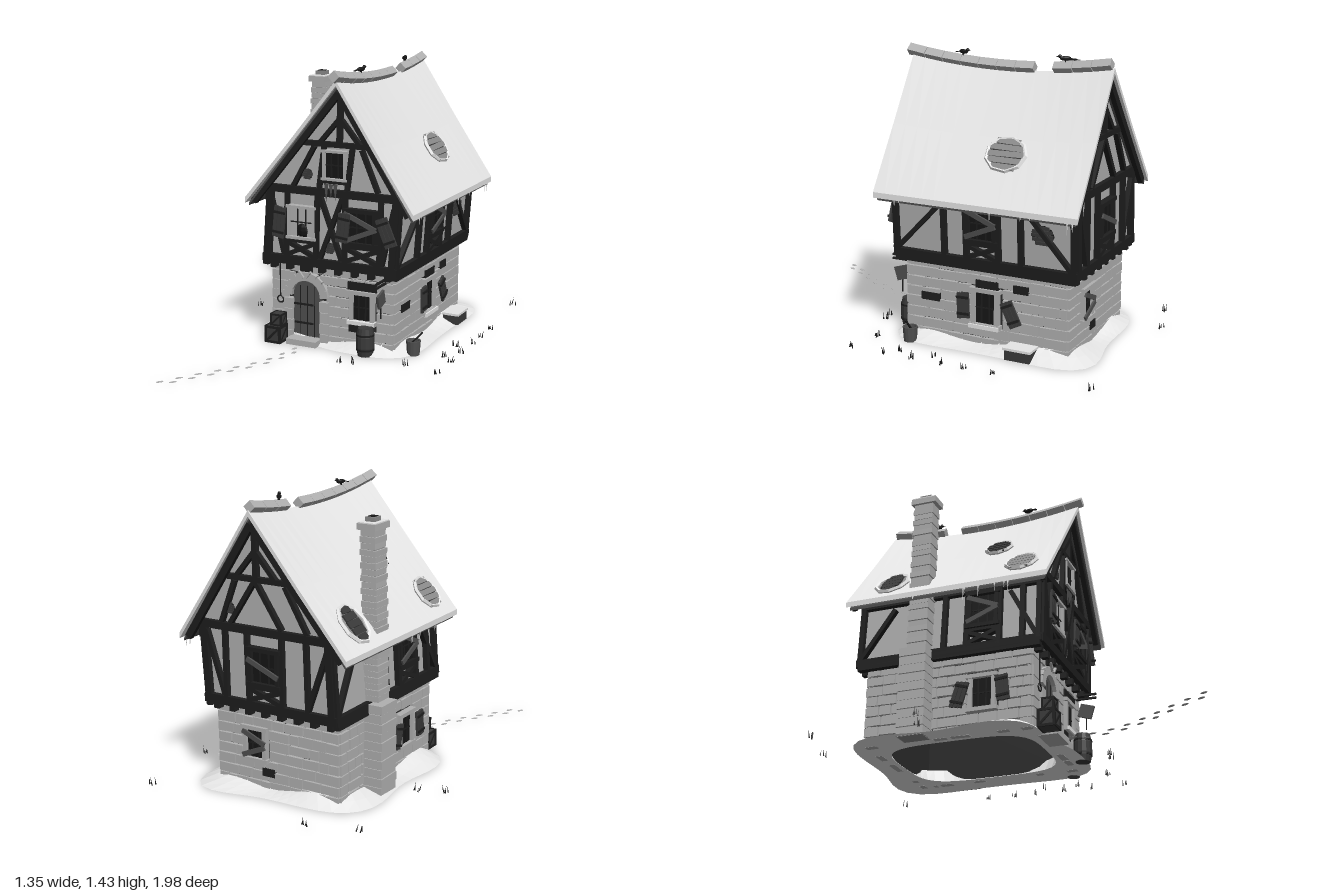
import * as THREE from 'three';

export function createModel() {
  const root = new THREE.Group();
  const mat = (name, color) => Object.assign(new THREE.MeshStandardMaterial({ color, flatShading: true }), { name });
  const snow = mat('snow', 0xebebeb), plaster = mat('plaster', 0xb1b1b1), stone = mat('stone', 0xb1b1b1);
  const slate = mat('slate', 0x8c8c8c), mortar = mat('mortar', 0x2c2c2c), timber = mat('timber', 0x1e1e1e);
  const wood = mat('wood', 0x505050), oldWood = mat('oldWood', 0x3a3a3a), dark = mat('darkness', 0x161616);
  let seed = 7;
  const rnd = (a = 0, b = 1) => { seed = (seed * 16807) % 2147483647; return a + (b - a) * seed / 2147483647; };

  // Helpers
  const add = (g, name, geo, m, x = 0, y = 0, z = 0) => {
    const o = new THREE.Mesh(geo, m);
    o.name = name; o.position.set(x, y, z); g.add(o);
    return o;
  };
  const box = (g, name, m, w, h, d, x, y, z, rz = 0) => {
    const o = add(g, name, new THREE.BoxGeometry(w, h, d), m, x, y, z);
    o.rotation.z = rz;
    return o;
  };
  const beam = (g, x1, y1, x2, y2, w = 0.026, d = 0.03, m = timber, z = 0.01, name = 'timberBeam') =>
    box(g, name, m, Math.hypot(x2 - x1, y2 - y1), w, d, (x1 + x2) / 2, (y1 + y2) / 2, z, Math.atan2(y2 - y1, x2 - x1));
  const group = (name, x = 0, y = 0, z = 0, ry = 0, rx = 0, parent = root) => {
    const g = new THREE.Group();
    g.name = name; g.position.set(x, y, z); g.rotation.set(rx, ry, 0, 'YXZ'); parent.add(g);
    return g;
  };
  const shape = pts => new THREE.Shape(pts.map(p => new THREE.Vector2(...p)));
  const extrude = (s, depth) => new THREE.ExtrudeGeometry(s, { depth, bevelEnabled: false });
  const mesh = (name, pos, m) => {
    const geo = new THREE.BufferGeometry();
    geo.setAttribute('position', new THREE.Float32BufferAttribute(pos, 3));
    geo.computeVertexNormals();
    return add(root, name, geo, m);
  };

  // Stone courses filled around rectangular openings [x1, y1, x2, y2]
  const masonry = (g, x1, x2, holes) => {
    const rows = 8, h = 0.42 / rows;
    for (let r = 0; r < rows; r++) {
      const y = (r + 0.5) * h, cuts = holes.filter(o => y > o[1] && y < o[3]).sort((a, b) => a[0] - b[0]);
      let start = x1;
      for (const c of [...cuts, [x2, 0, x2]]) {
        for (let x = start; x < c[0] - 0.01;) {
          let w = rnd(0.05, 0.12);
          if (c[0] - x - w < 0.035) w = c[0] - x;
          box(g, 'wallStone', stone, w - rnd(0.003, 0.008), h - rnd(0.002, 0.01), 0.03 + rnd(0, 0.008), x + w / 2, y, 0.002, rnd(-0.025, 0.025));
          x += w;
        }
        start = c[2];
      }
    }
  };
  const windowAt = (g, x, y, w, h, frame = stone, boards = 0, pane = dark, f = 0.02) => {
    box(g, 'windowPane', pane, w, h, 0.008, x, y, 0.012);
    for (const s of [-1, 1]) {
      box(g, 'windowJamb', frame, f, h, 0.04, x + s * w / 2, y, 0.012);
      box(g, 'windowRail', frame, w + 2 * f, f, 0.045, x, y + s * h / 2, 0.014);
      box(g, 'windowBar', timber, 0.007, h, 0.012, x + s * w / 6, y, 0.013);
    }
    box(g, 'windowBar', timber, w, 0.006, 0.012, x, y, 0.013);
    for (let i = 0; i < boards; i++)
      box(g, 'windowBoard', wood, w * 1.25, 0.024, 0.01, x, y - (i - (boards - 1) / 2) * 0.07, 0.036, i % 2 ? 0.4 : -0.4);
  };
  const shutter = (g, x, y, h, rz) => {
    const s = group('shutter', x, y, 0.04, 0, 0, g);
    s.rotation.z = rz;
    for (let i = -1; i < 2; i++) box(s, 'shutterPlank', oldWood, 0.02, h, 0.012, i * 0.022, rnd(-0.004, 0.004), 0);
    for (const k of [-1, 1]) box(s, 'shutterBatten', timber, 0.064, 0.012, 0.01, 0, k * h * 0.32, 0.008);
  };
  // Ragged oval opening crossed by slats
  const patch = (g, x, y, rx, ry, slat, hole = dark, fill = 0.32, rim = false, len = 1.85) => {
    const p = group('brokenPatch', x, y, 0.004, 0, 0, g);
    add(p, 'patchHole', new THREE.CircleGeometry(1, 9), hole).scale.set(rx, ry, 1);
    for (let i = -2; i < 3; i++)
      box(p, 'patchSlat', slat, len * rx * Math.sqrt(1 - (i * 0.38) ** 2), ry * fill, 0.008, 0, i * ry * 0.38, 0.005, rnd(-0.04, 0.04));
    if (rim) add(p, 'snowRim', new THREE.TorusGeometry(1, 0.12, 5, 9), snow).scale.set(rx, ry, 0.1);
  };

  // Ground storey: hollow core with stones on each face
  const core = shape([[-0.32, -0.12], [0.34, -0.12], [0.34, 0.72], [-0.32, 0.72]]);
  core.holes.push(shape([[-0.28, -0.08], [-0.28, 0.68], [0.3, 0.68], [0.3, -0.08]]));
  add(root, 'wallCore', extrude(core, 0.42), mortar, 0, 0.005, 0).rotation.x = -Math.PI / 2;
  const front = group('groundFront', 0, 0, 0.12), back = group('groundBack', 0, 0, -0.72, Math.PI);
  const right = group('groundRight', 0.34, 0, 0, Math.PI / 2), left = group('groundLeft', -0.32, 0, 0, -Math.PI / 2);
  masonry(front, -0.335, 0.355, [[-0.24, 0, -0.02, 0.3], [-0.2, 0.3, -0.06, 0.35], [0.105, 0.13, 0.26, 0.31]]);
  windowAt(front, 0.182, 0.225, 0.115, 0.155, stone);
  box(front, 'windowLintel', timber, 0.16, 0.042, 0.042, 0.185, 0.335, 0.004);
  box(front, 'windowSill', snow, 0.15, 0.02, 0.06, 0.182, 0.148, 0.015);
  box(front, 'missingStone', timber, 0.055, 0.045, 0.04, 0.135, 0.115, 0.003);
  masonry(back, -0.355, 0.335, [[-0.21, 0.14, -0.06, 0.33]]);
  windowAt(back, -0.135, 0.235, 0.11, 0.16, stone, 2);
  box(back, 'missingStone', timber, 0.07, 0.04, 0.04, -0.06, 0.1, 0.003);
  masonry(right, -0.13, 0.73, [[0.22, 0.1, 0.39, 0.3]]);
  windowAt(right, 0.3, 0.205, 0.125, 0.18);
  box(right, 'windowSill', snow, 0.16, 0.02, 0.06, 0.3, 0.112, 0.015);
  for (const [x, y, w] of [[0, 0.22, 0.1], [0.49, 0.325, 0.08], [0.31, 0.325, 0.12]]) box(right, 'missingStone', timber, w, 0.04, 0.042, x, y, 0.003);
  shutter(right, 0.445, 0.205, 0.13, 0.45);
  shutter(right, 0.19, 0.21, 0.13, 0.04);
  masonry(left, -0.73, 0.13, [[-0.2, 0.1, -0.04, 0.3]]);
  windowAt(left, -0.12, 0.205, 0.12, 0.17);
  shutter(left, -0.23, 0.2, 0.13, -0.3);
  shutter(left, -0.01, 0.21, 0.13, 0.1);

  // Arched door
  const door = group('door', -0.13, 0, 0.125), leaf = shape([[-0.08, 0.02], [0.08, 0.02], [0.08, 0.25]]);
  leaf.absarc(0, 0.25, 0.08, 0, Math.PI);
  add(door, 'doorLeaf', extrude(leaf, 0.01), wood);
  for (const x of [-0.04, 0, 0.04]) box(door, 'plankGap', timber, 0.003, 0.28, 0.004, x, 0.16, 0.011);
  for (const y of [0.1, 0.2]) box(door, 'hingeStrap', timber, 0.11, 0.01, 0.006, -0.02, y, 0.013);
  for (let i = 0; i < 9; i++) {
    const a = (i + 0.5) * Math.PI / 9;
    box(door, 'archStone', stone, 0.044, 0.038, 0.045, Math.cos(a) * 0.102, 0.25 + Math.sin(a) * 0.102, 0.008, a);
  }
  for (const s of [-1, 1]) {
    for (let i = 0; i < 4; i++) box(door, 'jambStone', stone, 0.044 + 0.006 * (i % 2), 0.054, 0.045, s * 0.102, 0.03 + i * 0.057, 0.008);
    beam(door, s * 0.008, 0.35, s * 0.035, 0.385, 0.008, 0.012, stone, 0.04, 'antler');
  }
  box(door, 'doorPlaque', timber, 0.07, 0.045, 0.02, 0, 0.4, 0.015);
  box(door, 'doorStep', stone, 0.17, 0.03, 0.1, 0, 0.015, 0.04);

  // Jettied storey, leaning slightly to +x
  add(root, 'upperWalls', extrude(shape([[-0.335, 0.43], [0.365, 0.43], [0.392, 0.82], [-0.31, 0.82]]), 0.94), plaster, 0, 0, -0.77);
  for (const z of [-0.77, 0.14]) add(root, 'gableWall', extrude(shape([[-0.325, 0.82], [0.4, 0.82], [0.085, 1.315]]), 0.03), plaster, 0, 0, z);
  const upFront = group('upperFront', 0, 0, 0.17), upBack = group('upperBack', 0, 0, -0.77, Math.PI);
  const frame = [[-0.355, 0.443, 0.385, 0.443, 0.045], [-0.325, 0.81, 0.402, 0.81, 0.038], [-0.13, 1.055, 0.25, 1.055, 0.026],
    [-0.33, 0.45, -0.31, 0.8, 0.034], [0.365, 0.45, 0.388, 0.8, 0.036], [0.078, 1.05, 0.085, 1.32, 0.026],
    [0.075, 1.18, -0.03, 1.06], [0.09, 1.18, 0.19, 1.06]];
  const frontOnly = [[-0.035, 0.83, -0.005, 1.05], [0.12, 0.83, 0.15, 1.05], [-0.18, 0.83, -0.06, 1.04], [0.29, 0.83, 0.2, 1.04],
    [-0.225, 0.46, -0.215, 0.8], [-0.055, 0.46, -0.045, 0.8], [0.105, 0.46, 0.11, 0.8], [0.295, 0.46, 0.305, 0.8],
    [-0.22, 0.55, -0.05, 0.55], [0.1, 0.55, 0.3, 0.55], [-0.22, 0.54, -0.06, 0.47], [-0.06, 0.54, -0.22, 0.47],
    [0.11, 0.54, 0.29, 0.47], [0.29, 0.54, 0.11, 0.47], [-0.03, 0.79, 0.09, 0.47], [0.095, 0.79, -0.03, 0.47],
    [-0.31, 0.77, -0.235, 0.47], [0.375, 0.76, 0.31, 0.47], [-0.025, 0.87, 0.125, 0.87]];
  const backOnly = [[-0.06, 0.46, -0.055, 0.8], [0.13, 0.46, 0.14, 0.8], [-0.2, 0.46, -0.19, 0.8], [0.26, 0.46, 0.265, 0.8],
    [-0.06, 0.54, 0.14, 0.54], [-0.05, 0.53, 0.13, 0.47], [0.13, 0.53, -0.05, 0.47], [-0.31, 0.78, -0.2, 0.47], [-0.2, 0.83, -0.08, 1.04],
    [0.37, 0.78, 0.27, 0.47], [0.28, 0.83, 0.2, 1.04], [-0.06, 0.83, 0.085, 1.05], [0.23, 0.83, 0.085, 1.05]];
  for (const b of [...frame, ...frontOnly]) beam(upFront, b[0], b[1], b[2], b[3], b[4] ?? 0.022);
  for (const b of [...frame, ...backOnly]) beam(upBack, -b[0], b[1], -b[2], b[3], b[4] ?? 0.022);
  windowAt(upFront, -0.132, 0.645, 0.14, 0.16, plaster, 0, plaster, 0.014);
  add(upFront, 'windowBell', new THREE.SphereGeometry(0.034, 8, 6), dark, -0.13, 0.602, 0.012).scale.set(1, 1.15, 0.5);
  windowAt(upFront, 0.2, 0.65, 0.15, 0.17, timber, 2);
  windowAt(upFront, 0.055, 0.952, 0.115, 0.14, plaster, 0, dark, 0.012);
  windowAt(upBack, -0.04, 0.64, 0.15, 0.17, timber, 1);
  shutter(upFront, -0.25, 0.64, 0.16, -0.1);
  shutter(upFront, 0.345, 0.645, 0.15, 0.4);
  shutter(upFront, 0.11, 0.645, 0.15, -0.12);
  for (const [g, x, y] of [[upFront, -0.105, 0.895], [upFront, 0.02, 0.525], [upBack, -0.24, 0.9]]) patch(g, x, y, 0.03, 0.028, oldWood);
  for (const [x, y] of [[0.012, 0.77], [0.038, 0.795], [0.062, 0.78]])
    add(upFront, 'stain', extrude(shape([[x - 0.011, 0.858], [x, y], [x + 0.011, 0.858]]), 0.004), wood, 0, 0, 0.026);

  // Side framing around a window centred at u
  const sideFrame = (g, u, w, braces) => {
    for (const y of [0, 0.32]) beam(g, -0.19, y, 0.79, y, 0.038);
    beam(g, -0.18, -0.03, 0.78, -0.03, 0.022);
    for (const x of [-0.175, 0.77, u - w / 2 - 0.12, u - w / 2, u + w / 2, u + w / 2 + 0.12]) beam(g, x, 0, x, 0.33, 0.025);
    beam(g, u - w / 2, 0.095, u + w / 2, 0.095, 0.02);
    for (const s of [-1, 1]) beam(g, u - s * w / 2, 0.085, u + s * w / 2, 0.02, 0.02);
    for (const b of braces) beam(g, ...b, 0.022);
    windowAt(g, u, 0.2, w - 0.03, 0.18, timber, 2);
  };
  const upRight = group('upperRight', 0.367, 0.44, 0, Math.PI / 2, 0.07), upLeft = group('upperLeft', -0.337, 0.44, -0.6, -Math.PI / 2, -0.07);
  sideFrame(upRight, 0.295, 0.17, [[-0.17, 0.02, 0.08, 0.28], [0.54, 0.28, 0.76, 0.02]]);
  patch(upRight, 0.61, 0.18, 0.06, 0.05, oldWood);
  sideFrame(upLeft, 0.48, 0.17, [[-0.17, 0.02, 0, 0.28], [0.62, 0.28, 0.76, 0.02]]);

  // Joist ends below the jetty
  for (let i = 0; i < 8; i++) for (const z of [0.14, -0.74]) box(root, 'joistEnd', timber, 0.03, 0.035, 0.07, -0.31 + i * 0.092, 0.405, z);

  // Sagging roof lofted from chevron cross-sections
  const ridgeX = 0.085, ridgeY = z => 1.335 + 0.045 * ((z + 0.29) / 0.53) ** 2, N = 16;
  const roofLayer = (name, m, drop, thick, inset) => {
    const secs = [], pos = [], quad = (a, b, c, d) => pos.push(...a, ...b, ...c, ...a, ...c, ...d);
    for (let k = 0; k <= N; k++) {
      const z = 0.24 - inset - k * (1.07 - 2 * inset) / N, r = ridgeY(z) - drop, e = 0.755 - drop, mid = (r + e) / 2 - 0.006;
      const top = [[-0.432 + inset, e], [-0.175, mid], [ridgeX, r], [0.293, mid], [0.5 - inset, e]];
      secs.push([...top, ...top.map(p => [p[0], p[1] - thick]).reverse()].map(p => [p[0], p[1], z]));
    }
    for (let k = 0; k < N; k++) for (let i = 0, j = 1; i < 10; i++, j = (i + 1) % 10) quad(secs[k][i], secs[k][j], secs[k + 1][j], secs[k + 1][i]);
    const f = secs[0], e = secs[N];
    for (let i = 0; i < 4; i++) { quad(f[i], f[9 - i], f[8 - i], f[i + 1]); quad(e[i], e[i + 1], e[8 - i], e[9 - i]); }
    mesh(name, pos, m);
  };
  roofLayer('roofSnow', snow, 0, 0.028, 0);
  roofLayer('roofBoards', wood, 0.027, 0.015, 0.015);
  for (const z of [0.205, -0.805]) for (const x of [-0.395, 0.462]) beam(root, ridgeX, 1.315, x, 0.735, 0.035, 0.025, timber, z, 'bargeBoard');
  for (const i of [0, 1, 2, 3, 4, 5, 6, 8, 9, 10]) {
    const z = 0.215 - i * 0.0985;
    const o = add(root, 'ridgeStone', new THREE.BoxGeometry(0.043, 0.043, 0.096), stone, ridgeX, ridgeY(z) + 0.016, z);
    o.rotation.set(-0.17 * (z + 0.29) / 0.53, 0, Math.PI / 4, 'YXZ');
  }
  // Holes in the roof
  for (const [x, z, ...rest] of [[0.345, -0.4, 0.1, 0.085, slate, mortar, 0.34, true], [-0.34, -0.62, 0.085, 0.1, oldWood, slate, 0.36, true, 1.2],
    [-0.16, -0.11, 0.07, 0.07, oldWood, dark, 0.25, true], [-0.34, 0.08, 0.08, 0.085, slate, mortar, 0.34, true]]) {
    const s = x > ridgeX ? 1 : -1, t = (x - ridgeX) / (s > 0 ? 0.415 : -0.517), y = ridgeY(z) + (0.755 - ridgeY(z)) * t;
    patch(group('roofHole', x, y + 0.003, z, s * Math.PI / 2, s > 0 ? -0.61 : -0.72), 0, 0, ...rest);
  }
  // Icicles on the eaves
  for (let i = 0; i < 14; i++) {
    const h = rnd(0.025, 0.07);
    add(root, 'icicle', new THREE.ConeGeometry(0.005, h, 5), snow, i % 2 ? 0.485 : -0.415, 0.735 - h / 2, rnd(-0.8, 0.22)).rotation.x = Math.PI;
  }
  // Crows on the ridge
  for (const [z, ry] of [[-0.04, 1.3], [-0.58, -1]]) {
    const c = group('crow', ridgeX, ridgeY(z) + 0.06, z, ry);
    add(c, 'crowBody', new THREE.SphereGeometry(0.014, 7, 5), dark).scale.set(2.1, 0.8, 0.9);
    add(c, 'crowHead', new THREE.SphereGeometry(0.009, 6, 5), dark, 0.026, 0.01, 0);
    add(c, 'crowBeak', new THREE.ConeGeometry(0.004, 0.016, 4), dark, 0.039, 0.009, 0).rotation.z = -Math.PI / 2;
    box(c, 'crowTail', dark, 0.03, 0.004, 0.012, -0.034, -0.003, 0, 0.2);
    box(c, 'crowLegs', dark, 0.004, 0.02, 0.01, 0, -0.016, 0);
  }

  // Chimney: broad stack, leaning shaft, snowy cap
  const chimney = group('chimney', 0, 0, -0.45);
  box(chimney, 'stackCore', slate, 0.088, 0.45, 0.128, -0.384, 0.225, 0);
  for (let i = 0; i < 10; i++) box(chimney, 'stackCourse', stone, 0.096 + 0.008 * (i % 2), 0.0425, 0.14, -0.384, 0.0225 + i * 0.0455, 0);
  beam(chimney, -0.363, 0.46, -0.341, 1.28, 0.068, 0.09, slate, 0.005, 'shaftCore');
  for (let i = 0; i < 27; i++) {
    const t = i / 26, e = 0.008 * (i % 2);
    box(chimney, 'shaftCourse', stone, 0.076 + e, 0.028, 0.1 + e, -0.363 + 0.022 * t, 0.475 + 0.788 * t, 0.005, rnd(-0.04, 0.04));
  }
  box(chimney, 'chimneyCap', stone, 0.096, 0.03, 0.135, -0.341, 1.294, 0.007);
  box(chimney, 'capSnow', snow, 0.092, 0.006, 0.13, -0.341, 1.311, 0.007);
  box(chimney, 'chimneyPot', slate, 0.05, 0.022, 0.06, -0.34, 1.324, 0.007);
  box(chimney, 'flue', dark, 0.034, 0.004, 0.038, -0.34, 1.336, 0.007);

  // Snow drift ring, bulging at [angle, amount]
  const drift = [], M = 56, bulges = [[-0.9, 0.075], [3.72, 0.05], [2.65, 0.05], [2, -0.06], [0.75, 0.03]];
  const ring = a => {
    const c = Math.cos(a), s = Math.sin(a), k = (Math.abs(c) ** 4 + Math.abs(s) ** 4) ** -0.25, h = 0.036 + 0.02 * Math.sin(4 * a - 2);
    const n = bulges.reduce((sum, [b, v]) => sum + v * Math.exp(-((Math.atan2(Math.sin(a - b), Math.cos(a - b)) / 0.35) ** 2)), 0);
    return [[0.29, 0.38, 0.002], [0.31, 0.4, h + 0.012], [0.365, 0.45, h], [0.4 + n / 2, 0.48 + n / 2, h * 0.55], [0.44 + n, 0.515 + n, 0.002]]
      .map(([rx, rz, y]) => [0.01 + c * k * rx, y, -0.3 + s * k * rz]);
  };
  for (let i = 0; i < M; i++) {
    const p = ring(i / M * 2 * Math.PI), q = ring((i + 1) / M * 2 * Math.PI);
    for (let j = 0, l = 1; j < 5; j++, l = (j + 1) % 5) drift.push(...p[j], ...q[j], ...q[l], ...p[j], ...q[l], ...p[l]);
  }
  mesh('snowDrift', drift, snow);

  // Crates, barrel, bucket, snowy chest
  for (const [x, y, s] of [[-0.281, 0.046, 0.09], [-0.268, 0.123, 0.064]]) {
    const c = group('crate', x, y, 0.195);
    box(c, 'crateBody', oldWood, s * 0.92, s * 0.92, s * 0.92, 0, 0, 0);
    for (let k = 0; k < 4; k++) {
      const f = group('crateSide', 0, 0, 0, k * Math.PI / 2, 0, c);
      for (const e of [-1, 1]) {
        box(f, 'crateEdge', timber, s * 0.14, s, 0.006, e * s * 0.43, 0, s * 0.47);
        box(f, 'crateRail', timber, s, s * 0.14, 0.006, 0, e * s * 0.43, s * 0.47);
      }
      beam(f, -s * 0.4, -s * 0.4, s * 0.4, s * 0.4, s * 0.13, 0.006, timber, s * 0.47, 'crateBrace');
    }
  }
  const lathe = pts => new THREE.LatheGeometry(pts.map(p => new THREE.Vector2(...p)), 14);
  add(root, 'barrel', lathe([[0, 0], [0.038, 0], [0.047, 0.045], [0.047, 0.1], [0.038, 0.145], [0, 0.14]]), oldWood, 0.228, 0, 0.195);
  for (const y of [0.035, 0.11]) add(root, 'barrelHoop', new THREE.CylinderGeometry(0.048, 0.048, 0.009, 14), timber, 0.228, y, 0.195);
  add(root, 'bucket', lathe([[0, 0], [0.032, 0], [0.038, 0.075], [0.031, 0.075], [0.028, 0.05], [0, 0.05]]), wood, 0.438, 0, 0.075);
  beam(root, 0.425, 0.055, 0.487, 0.122, 0.008, 0.008, timber, 0.075, 'bucketStick');
  box(root, 'chest', oldWood, 0.085, 0.05, 0.13, 0.425, 0.03, -0.52);
  box(root, 'chestSnow', snow, 0.095, 0.012, 0.145, 0.425, 0.061, -0.52);

  // Hanging sign and door chain
  const sign = group('hangingSign', 0.31, 0, 0.13, -Math.PI / 2);
  for (const y of [0.37, 0.39]) beam(sign, 0, y, 0.115, y, 0.009, 0.012, timber, 0);
  box(sign, 'signBoard', wood, 0.075, 0.07, 0.012, 0.06, 0.3, 0, -0.3);
  box(sign, 'signChain', timber, 0.005, 0.07, 0.005, 0.06, 0.235, 0);
  box(root, 'doorChain', timber, 0.005, 0.19, 0.005, -0.28, 0.33, 0.15);
  add(root, 'chainRing', new THREE.TorusGeometry(0.018, 0.004, 5, 12), timber, -0.28, 0.215, 0.15);

  // Footprints leading from the door
  const path = new THREE.CatmullRomCurve3([[-0.12, 0.27], [-0.16, 0.48], [-0.25, 0.66], [-0.36, 0.82], [-0.46, 0.985]].map(p => new THREE.Vector3(p[0], 0.001, p[1])));
  for (let i = 0; i < 17; i++) {
    const p = path.getPointAt(i / 16), t = path.getTangentAt(i / 16), s = i % 2 ? 0.018 : -0.018;
    const o = add(root, 'footprint', new THREE.CylinderGeometry(1, 1, 0.001, 10), stone, p.x + t.z * s, 0.001, p.z - t.x * s);
    o.scale.set(0.01, 1, 0.02); o.rotation.y = Math.atan2(t.x, t.z);
  }
  // Grass tufts
  for (const [x, z] of [[-0.3, -0.98], [-0.55, -0.9], [0.61, -0.95], [0.65, -0.48], [0.65, -0.33], [-0.66, -0.31], [-0.54, -0.36], [0.65, -0.2],
    [0.58, -0.13], [0.65, -0.05], [0.58, 0.04], [0.65, 0.1], [0.47, 0.25], [0.65, 0.28], [0.23, 0.34], [0.16, 0.35]]) for (let k = 0; k < 4; k++) {
    const h = rnd(0.02, 0.045);
    add(root, 'grassBlade', new THREE.ConeGeometry(0.004, h, 3), timber, x + rnd(-0.018, 0.018), h / 2, z + rnd(-0.015, 0.015)).rotation.z = rnd(-0.3, 0.3);
  }
  return root;
}
